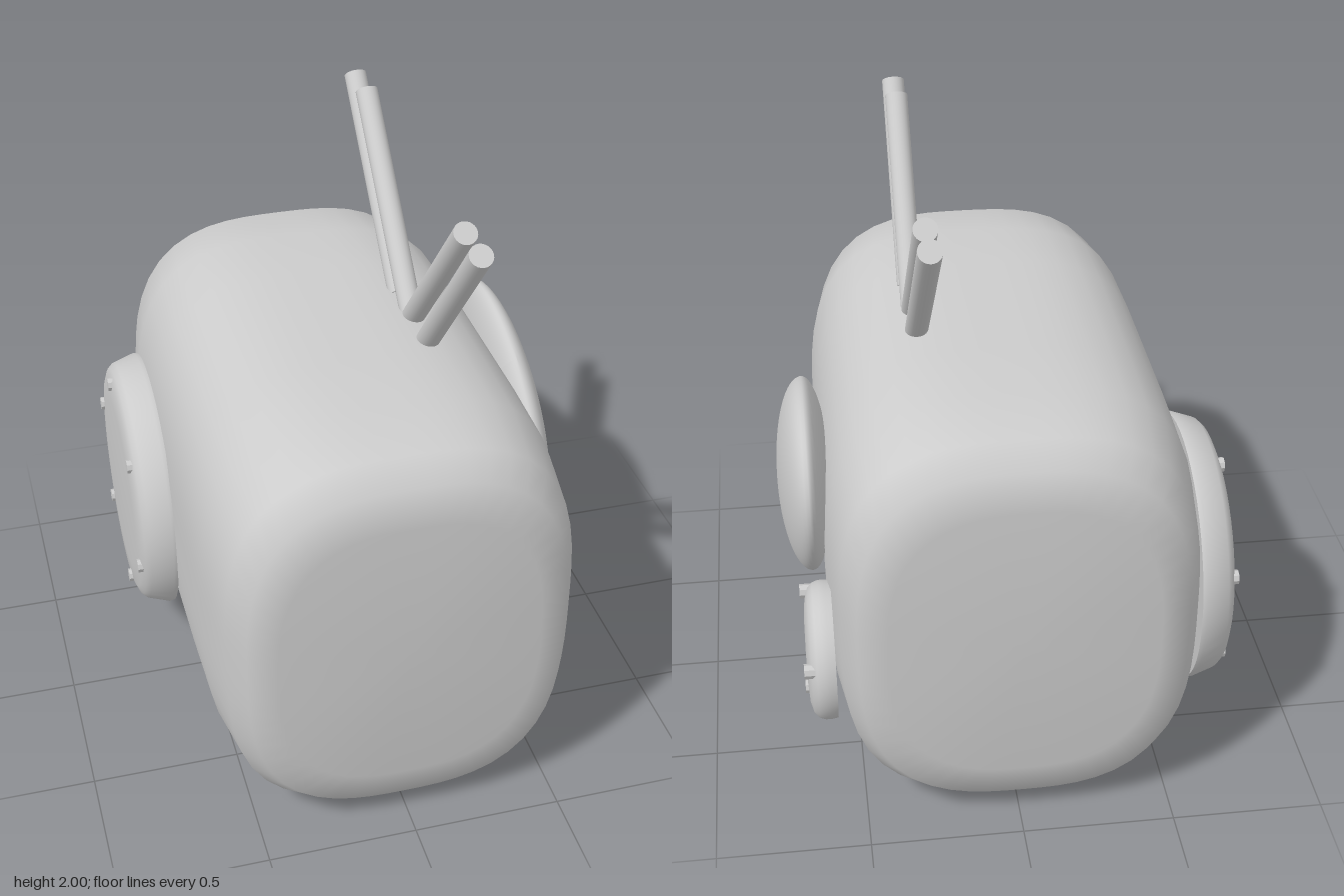
import * as THREE from 'three';
import { toCreasedNormals } from 'three/addons/utils/BufferGeometryUtils.js';

const material = new THREE.MeshStandardMaterial({ color: 0xcccccc });

function addMesh(parent, name, geometry) {
  const mesh = new THREE.Mesh(geometry, material);
  mesh.name = name;
  parent.add(mesh);
  return mesh;
}

// Closed skin over rounded-square sections: [z, half width, half height, squareness]
function bodyGeometry() {
  const half = [[0.935, 0.02, 0.02, 2], [0.932, 0.43, 0.5, 2.7], [0.9, 0.523, 0.623, 2.85],
    [0.81, 0.57, 0.683, 3.05], [0.58, 0.598, 0.711, 3.25], [0.3, 0.6, 0.714, 3.35]];
  const sections = [...half, ...half.slice().reverse().map(([z, ...rest]) => [-z, ...rest])];
  const sides = 56, positions = [], index = [];
  for (const [z, w, h, n] of sections) {
    for (let i = 0; i < sides; i++) {
      const a = (i / sides) * Math.PI * 2, c = Math.cos(a), s = Math.sin(a);
      const r = (Math.abs(c) ** n + Math.abs(s) ** n) ** (-1 / n);
      positions.push(w * r * c, h * r * s, z);
    }
  }
  for (let j = 0; j < sections.length - 1; j++) {
    for (let i = 0; i < sides; i++) {
      const k = (i + 1) % sides;
      const a = j * sides + i, b = j * sides + k, c = a + sides, d = b + sides;
      index.push(a, c, b, b, c, d);
    }
  }
  // End caps
  const last = (sections.length - 1) * sides;
  for (let i = 1; i < sides - 1; i++) index.push(0, i, i + 1, last, last + i + 1, last + i);
  const geometry = new THREE.BufferGeometry();
  geometry.setAttribute('position', new THREE.Float32BufferAttribute(positions, 3));
  geometry.setIndex(index);
  geometry.computeVertexNormals();
  return geometry;
}

// Round cover lying on a side wall, its axis pointing along local +y;
// bolts are given as [y, z] offsets from its centre
function addCover(parent, name, side, [x, y, z], profile, boltHeight, bolts) {
  const cover = new THREE.Group();
  cover.name = name;
  cover.position.set(x, y, z);
  parent.add(cover);
  const points = profile.map(([r, h]) => new THREE.Vector2(r, h));
  const disc = addMesh(cover, name + 'Disc', toCreasedNormals(new THREE.LatheGeometry(points, 48), 1));
  disc.rotation.z = -side * Math.PI / 2;
  for (const [by, bz] of bolts) {
    const bolt = addMesh(cover, name + 'Bolt', toCreasedNormals(new THREE.CylinderGeometry(0.024, 0.024, 0.04, 8), 0.6));
    bolt.rotation.z = -side * Math.PI / 2;
    bolt.position.set(side * (boltHeight - 0.02), by, bz);
  }
}

function addRod(parent, from, to) {
  const a = new THREE.Vector3(...from), b = new THREE.Vector3(...to);
  const dir = b.clone().sub(a);
  const rod = addMesh(parent, 'antennaRod', new THREE.CylinderGeometry(0.038, 0.038, dir.length(), 24));
  rod.position.copy(a).add(b).multiplyScalar(0.5);
  rod.quaternion.setFromUnitVectors(new THREE.Vector3(0, 1, 0), dir.normalize());
}

export function createModel() {
  const model = new THREE.Group();
  model.name = 'roundedCase';

  addMesh(model, 'body', bodyGeometry()).position.set(-0.01, 0.72, 0);

  // Large bolted cover on the -x wall
  const ring = [];
  for (let i = 0; i < 6; i++) {
    const a = THREE.MathUtils.degToRad(-13 + i * 60);
    ring.push([0.378 * Math.cos(a), 0.378 * Math.sin(a)]);
  }
  addCover(model, 'largeCover', -1, [-0.605, 0.64, -0.335],
    [[0, 0], [0.455, 0], [0.457, 0.015], [0.432, 0.09], [0.415, 0.108], [0.385, 0.12], [0.3, 0.125], [0, 0.128]],
    0.132, ring);

  // Small bolted cover on the +x wall
  addCover(model, 'smallCover', 1, [0.58, 0.555, -0.66],
    [[0, 0], [0.222, 0], [0.225, 0.02], [0.225, 0.04], [0.218, 0.06], [0.2, 0.076], [0.165, 0.086], [0.1, 0.091], [0, 0.092]],
    0.1, [[0.135, 0.14], [0.06, -0.18], [-0.185, 0.045]]);

  // Tilted oval lens, fuller on its outer face
  const lens = new THREE.SphereGeometry(1, 48, 32);
  const p = lens.attributes.position;
  for (let i = 0; i < p.count; i++) {
    const x = p.getX(i);
    p.setXYZ(i, x * (x > 0 ? 0.102 : 0.08), p.getY(i) * 0.328, p.getZ(i) * 0.515);
  }
  lens.computeVertexNormals();
  const oval = addMesh(model, 'ovalLens', lens);
  oval.position.set(0.63, 0.885, -0.11);
  oval.rotation.x = THREE.MathUtils.degToRad(28);

  // Two pairs of antenna rods: [base z, tip z]
  for (const [base, tip] of [[0.21, 0.68], [0.05, 0.537], [0.035, -0.535], [-0.11, -0.68]]) {
    addRod(model, [0.245, 1.41, base], [0.245, 1.974, tip]);
  }
  return model;
}
